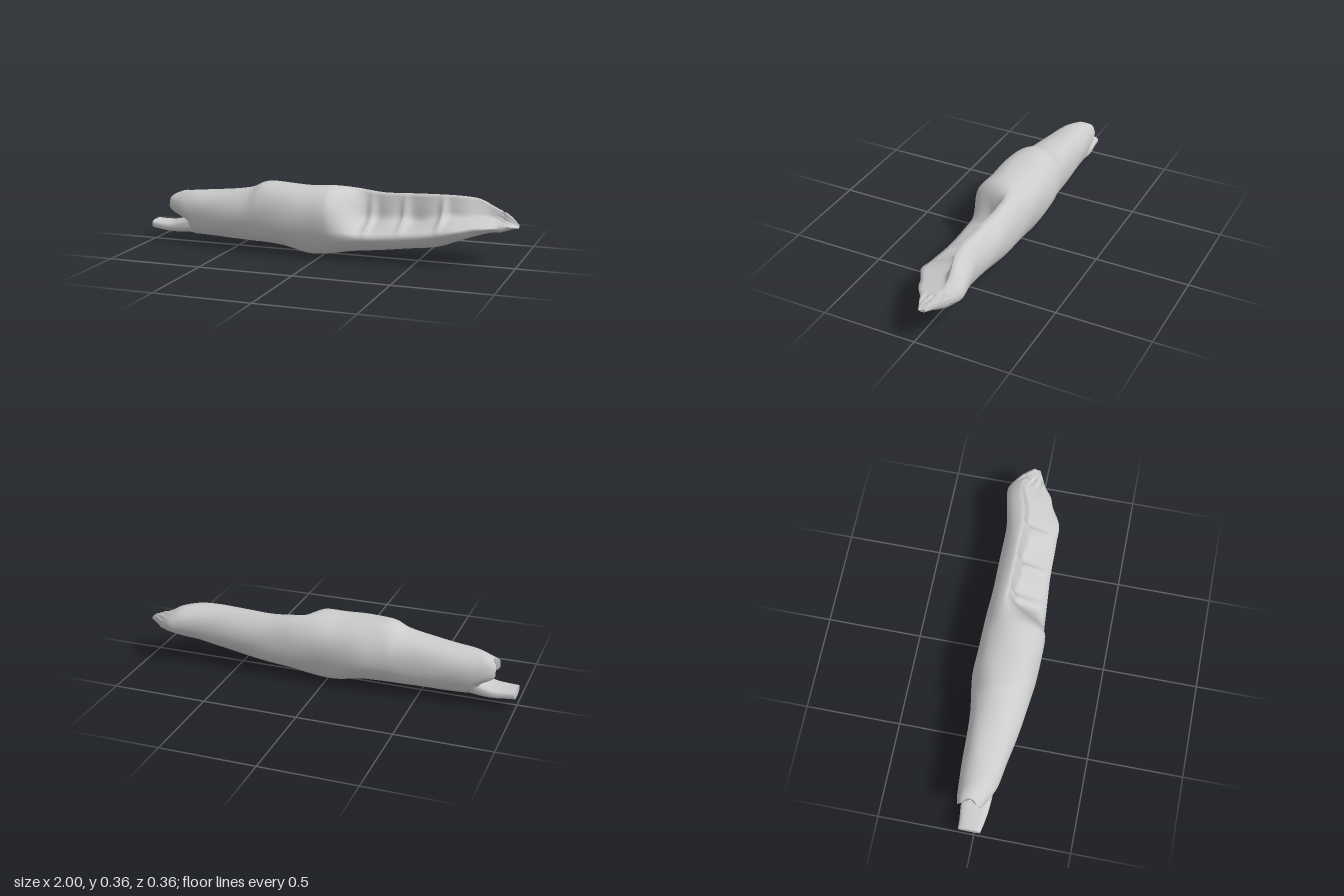
import * as THREE from 'three';

const SIDES = 36;
const material = new THREE.MeshStandardMaterial({ color: 0xcccccc, side: THREE.DoubleSide });
const smooth = THREE.MathUtils.smoothstep;
const bump = (x, c, w) => Math.exp(-(((x - c) / w) ** 2));

// Each station: x, bottom y, top y, back z, front z
const TRUNK = [
  [-0.9, 0.09, 0.26, -0.10, 0.02],
  [-0.86, 0.06, 0.275, -0.11, 0.045],
  [-0.78, 0.05, 0.283, -0.115, 0.08],
  [-0.6, 0.045, 0.3, -0.125, 0.11],
  [-0.42, 0.04, 0.325, -0.135, 0.14],
  [-0.33, 0.038, 0.36, -0.145, 0.155],
  [-0.2, 0.03, 0.362, -0.16, 0.17],
  [-0.07, 0.005, 0.36, -0.157, 0.172],
  [0.04, 0.01, 0.364, -0.155, 0.172],
  [0.16, 0.03, 0.355, -0.155, 0.158],
  [0.3, 0.045, 0.343, -0.15, 0.148],
  [0.45, 0.065, 0.347, -0.145, 0.14],
  [0.6, 0.09, 0.354, -0.145, 0.14],
  [0.7, 0.122, 0.35, -0.16, 0.138],
  [0.79, 0.148, 0.332, -0.178, 0.085],
  [0.85, 0.165, 0.3, -0.18, 0.06],
  [0.91, 0.178, 0.27, -0.145, 0.015],
  [0.96, 0.19, 0.25, -0.105, -0.01],
  [1.0, 0.198, 0.218, -0.07, -0.03],
];

const TONGUE = [
  [-1.0, 0.063, 0.11, -0.08, 0.035],
  [-0.95, 0.058, 0.108, -0.082, 0.045],
  [-0.88, 0.053, 0.112, -0.09, 0.055],
  [-0.8, 0.055, 0.14, -0.09, 0.06],
  [-0.72, 0.06, 0.17, -0.08, 0.06],
];

// Skins a run of rings; shape(ring, x, box) may edit each ring of [x, y, z] points
function loft(name, stations, steps, power, shape) {
  const columns = [1, 2, 3, 4].map(c =>
    new THREE.SplineCurve(stations.map(s => new THREE.Vector2(s[0], s[c]))));
  const pos = [], index = [];
  const id = (i, k) => i * SIDES + (k + SIDES) % SIDES;
  for (let i = 0; i <= steps; i++) {
    const p = columns.map(c => c.getPoint(i / steps));
    const x = p[0].x, [y0, y1, z0, z1] = p.map(v => v.y);
    const box = { cy: (y0 + y1) / 2, ry: (y1 - y0) / 2, cz: (z0 + z1) / 2, rz: (z1 - z0) / 2 };
    const ring = [];
    for (let k = 0; k < SIDES; k++) {
      const a = k / SIDES * Math.PI * 2, c = Math.cos(a), s = Math.sin(a);
      ring.push([x,
        box.cy + box.ry * Math.sign(s) * Math.abs(s) ** power,
        box.cz + box.rz * Math.sign(c) * Math.abs(c) ** power]);
    }
    if (shape) shape(ring, x, box);
    ring.forEach(v => pos.push(...v));
    if (i < steps) for (let k = 0; k < SIDES; k++) {
      index.push(id(i, k), id(i + 1, k), id(i, k + 1));
      index.push(id(i + 1, k), id(i + 1, k + 1), id(i, k + 1));
    }
  }
  // End caps with their own vertices, so the rims stay sharp
  for (const end of [0, steps]) {
    const base = pos.length / 3, mid = [0, 0, 0];
    for (let k = 0; k < SIDES; k++) for (let j = 0; j < 3; j++) {
      const v = pos[id(end, k) * 3 + j];
      pos.push(v);
      mid[j] += v / SIDES;
    }
    pos.push(...mid);
    for (let k = 0; k < SIDES; k++) {
      const a = base + k, b = base + (k + 1) % SIDES;
      index.push(base + SIDES, end ? b : a, end ? a : b);
    }
  }
  const geometry = new THREE.BufferGeometry();
  geometry.setAttribute('position', new THREE.Float32BufferAttribute(pos, 3));
  geometry.setIndex(index);
  geometry.computeVertexNormals();
  const mesh = new THREE.Mesh(geometry, material);
  mesh.name = name;
  return mesh;
}

function shapeTrunk(ring, x, { cy, ry, cz, rz }) {
  // Gentle weathering that fades out at the silhouette ends
  const fade = smooth(x, -0.9, -0.7) * (1 - smooth(x, 0.75, 0.95));
  ring.forEach((v, k) => {
    const a = k / SIDES * Math.PI * 2;
    const r = 1 + fade * (0.014 * Math.sin(3 * a + x * 9) + 0.01 * Math.sin(5 * a - x * 17));
    v[1] = Math.max(0, cy + (v[1] - cy) * r);
    v[2] = cz + (v[2] - cz) * r;
  });

  // Rotted hollow: floor from front lip to crease, then wall up to the top edge
  const first = -2, last = 11;
  const at = k => ring[(k + SIDES) % SIDES];
  const ribs = bump(x, 0.24, 0.018) + bump(x, 0.42, 0.016) + bump(x, 0.62, 0.016);
  const depth = smooth(x, 0.04, 0.24) * (1 - 0.17 * ribs);
  const lip = [...at(first)], top = [...at(last)];
  const crease = [x, cy + ry * (0.02 + 0.06 * Math.sin(x * 23)),
    cz - rz * (0.16 + 0.06 * Math.sin(x * 31))];
  for (let k = first + 1; k < last; k++) {
    const t = (k - first) / (last - first) * 2;
    const [from, to, u] = t < 1 ? [lip, crease, t] : [crease, top, t - 1];
    for (const j of [1, 2]) {
      const target = from[j] + (to[j] - from[j]) * u;
      at(k)[j] += (target - at(k)[j]) * depth;
    }
  }

  // Broken left end: the upper part juts out over a gap
  ring.forEach(v => {
    const gap = 1 - smooth(v[1], 0.12, 0.19);
    v[0] += (0.085 * gap + 0.03 * smooth(v[1], 0.235, 0.27)) * (1 - smooth(x, -0.9, -0.72));
  });
  // Splintered right end
  ring.forEach((v, k) => {
    v[1] += 0.008 * Math.sin(k * 2.1 + x * 60) * bump(x, 0.92, 0.035);
  });
}

export function createModel() {
  const log = new THREE.Group();
  log.name = 'hollowLog';
  log.add(loft('trunk', TRUNK, 170, 0.92, shapeTrunk));
  log.add(loft('brokenTongue', TONGUE, 16, 0.7));
  return log;
}
